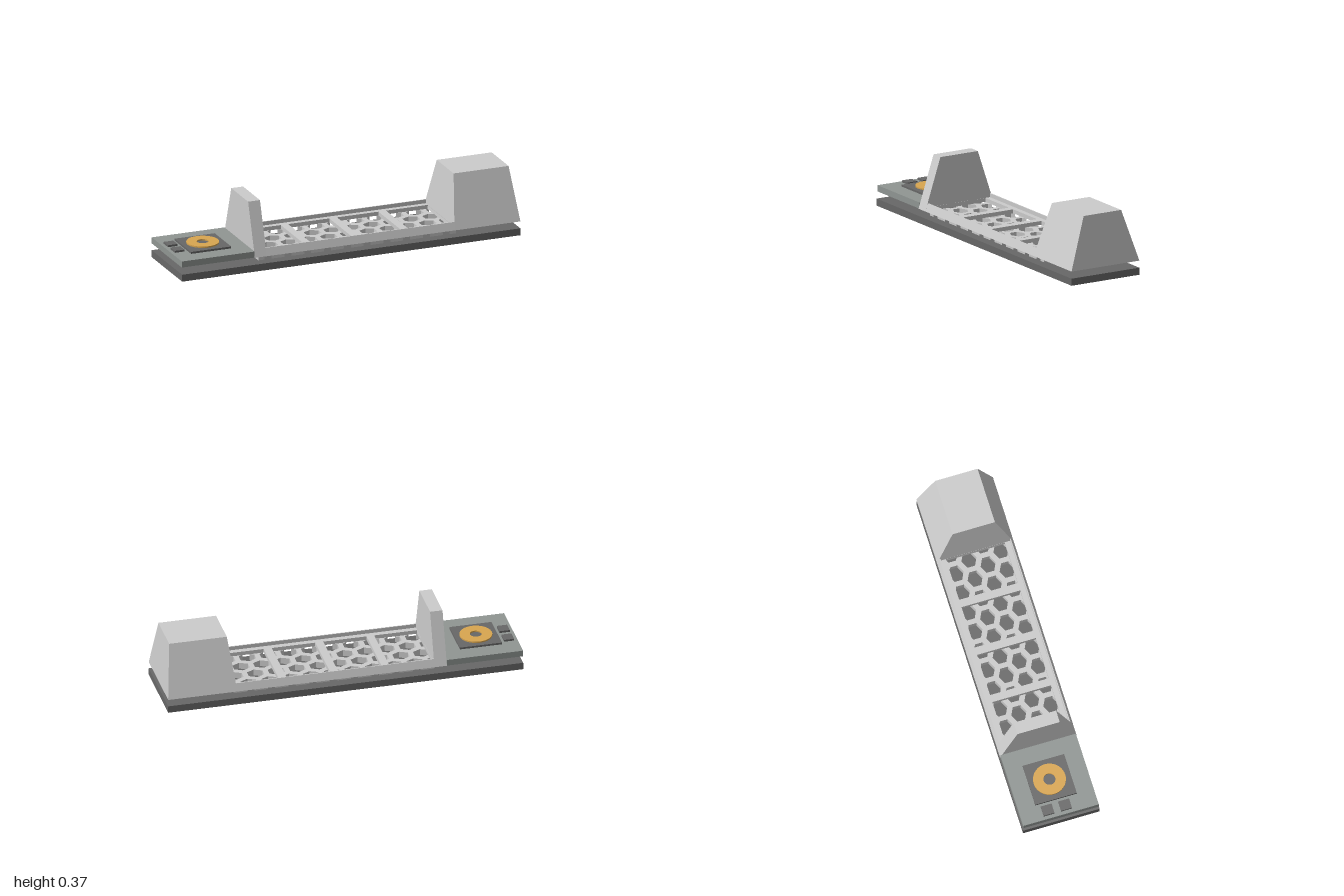
import * as THREE from 'three';

const mat = (color) => new THREE.MeshStandardMaterial({ color, flatShading: true });

// Solid between two level rectangles, each [x0, x1, z0, z1]
function taper(bottom, top, y0, y1) {
  const geo = new THREE.BoxGeometry(1, 1, 1);
  const p = geo.attributes.position;
  for (let i = 0; i < p.count; i++) {
    const up = p.getY(i) > 0;
    const r = up ? top : bottom;
    p.setXYZ(i, r[p.getX(i) > 0 ? 1 : 0], up ? y1 : y0, r[p.getZ(i) > 0 ? 3 : 2]);
  }
  geo.computeVertexNormals();
  return geo;
}
const block = (x0, x1, z0, z1, y0, y1) => taper([x0, x1, z0, z1], [x0, x1, z0, z1], y0, y1);

// Extrudes a plan shape (shape y = -z) upward from y0
function slab(shape, y0, h) {
  const geo = new THREE.ExtrudeGeometry(shape, { depth: h, bevelEnabled: false, curveSegments: 24 });
  return geo.rotateX(-Math.PI / 2).translate(0, y0, 0);
}
const pts = (list) => list.map(([x, y]) => new THREE.Vector2(x, y));

// Perforated sheet: four staggered rows of hexagons, the outer ones cut by the edge
function honeycomb() {
  const X0 = -0.53, X1 = 0.64, E = 0.17, step = 0.117;
  const w = 0.044, h = 0.043, outer = 0.137, inner = 0.046;
  const open = w * (outer + h - E) / (h / 2); // half width of an edge opening
  const ring = [[X0, -E]];
  // front edge
  for (let k = 0; k < 10; k++) {
    const c = X0 + step * (k + 0.5);
    ring.push([c - open, -E], [c - w, -outer - h / 2], [c - w, -outer + h / 2], [c, -outer + h],
      [c + w, -outer + h / 2], [c + w, -outer - h / 2], [c + open, -E]);
  }
  // right end with a half hexagon and a cut corner
  ring.push([X1, -E], [X1, -inner - h], [X1 - w, -inner - h / 2], [X1 - w, -inner + h / 2], [X1, -inner + h]);
  ring.push([X1, outer - h], [X1 - w, outer - h / 2], [X1 - w, outer + h / 2], [X1 - open, E]);
  // back edge
  for (let k = 9; k > 0; k--) {
    const c = X0 + step * k;
    ring.push([c + open, E], [c + w, outer + h / 2], [c + w, outer - h / 2], [c, outer - h],
      [c - w, outer - h / 2], [c - w, outer + h / 2], [c - open, E]);
  }
  // left end
  ring.push([X0 + open, E], [X0 + w, outer + h / 2], [X0 + w, outer - h / 2], [X0, outer - h]);
  ring.push([X0, -inner + h], [X0 + w, -inner + h / 2], [X0 + w, -inner - h / 2], [X0, -inner - h]);

  const shape = new THREE.Shape(pts(ring));
  const hex = (cx, cy) => shape.holes.push(new THREE.Path(pts([
    [cx, cy + h], [cx + w, cy + h / 2], [cx + w, cy - h / 2],
    [cx, cy - h], [cx - w, cy - h / 2], [cx - w, cy + h / 2]])));
  for (let k = 0; k < 10; k++) {
    hex(X0 + step * (k + 0.5), inner);
    if (k > 0) hex(X0 + step * k, -inner);
  }
  return slab(shape, 0.044, 0.036);
}

// Floor of the tray with four windows
function windowFloor() {
  const shape = new THREE.Shape(pts([[-0.5, -0.2], [0.62, -0.2], [0.62, 0.2], [-0.5, 0.2]]));
  for (const [a, b] of [[-0.499, -0.257], [-0.214, 0.03], [0.075, 0.32], [0.365, 0.612]]) {
    shape.holes.push(new THREE.Path(pts([[a, -0.168], [a, 0.168], [b, 0.168], [b, -0.168]])));
  }
  return slab(shape, 0.08, 0.022);
}

export function createModel() {
  const model = new THREE.Group();
  const grey = mat(0xcccccc), dark = mat(0x686868), board = mat(0x909693), copper = mat(0xd9a650);
  const add = (name, geo, material, parent = model) => {
    const mesh = new THREE.Mesh(geo, material);
    mesh.name = name;
    parent.add(mesh);
    return mesh;
  };

  add('basePlate', block(-1, 1, -0.219, 0.219, 0, 0.04), dark);
  add('honeycombPanel', honeycomb(), grey);

  // Tray with sloping sides, thin end wall and large end block
  const tray = new THREE.Group();
  tray.name = 'tray';
  model.add(tray);
  add('windowFloor', windowFloor(), grey, tray);
  add('endWall', taper([-0.57, -0.5, -0.219, 0.219], [-0.57, -0.5, -0.12, 0.122], 0.08, 0.374), grey, tray);
  add('endBlock', taper([0.61, 1, -0.219, 0.219], [0.645, 0.97, -0.12, 0.122], 0.08, 0.374), grey, tray);
  add('frontRail', taper([-0.5, 0.62, 0.198, 0.219], [-0.5, 0.62, 0.198, 0.204], 0.08, 0.124), grey, tray);
  add('backRail', taper([-0.5, 0.62, -0.219, -0.198], [-0.5, 0.62, -0.204, -0.198], 0.08, 0.124), grey, tray);

  // Circuit board with its sensor and chips
  const circuit = new THREE.Group();
  circuit.name = 'circuitBoard';
  model.add(circuit);
  add('board', block(-1, -0.57, -0.217, 0.214, 0.08, 0.115), board, circuit);
  add('sensorPad', block(-0.905, -0.668, -0.12, 0.117, 0.115, 0.126), dark, circuit);
  const disc = new THREE.Shape().absarc(-0.787, 0.003, 0.09, 0, Math.PI * 2);
  disc.holes.push(new THREE.Path().absarc(-0.787, 0.003, 0.033, 0, Math.PI * 2, true));
  add('copperRing', slab(disc, 0.126, 0.008), copper, circuit);
  for (const z of [-0.095, 0.005]) {
    add('chip', block(-0.98, -0.923, z, z + 0.062, 0.115, 0.126), dark, circuit);
  }
  return model;
}
